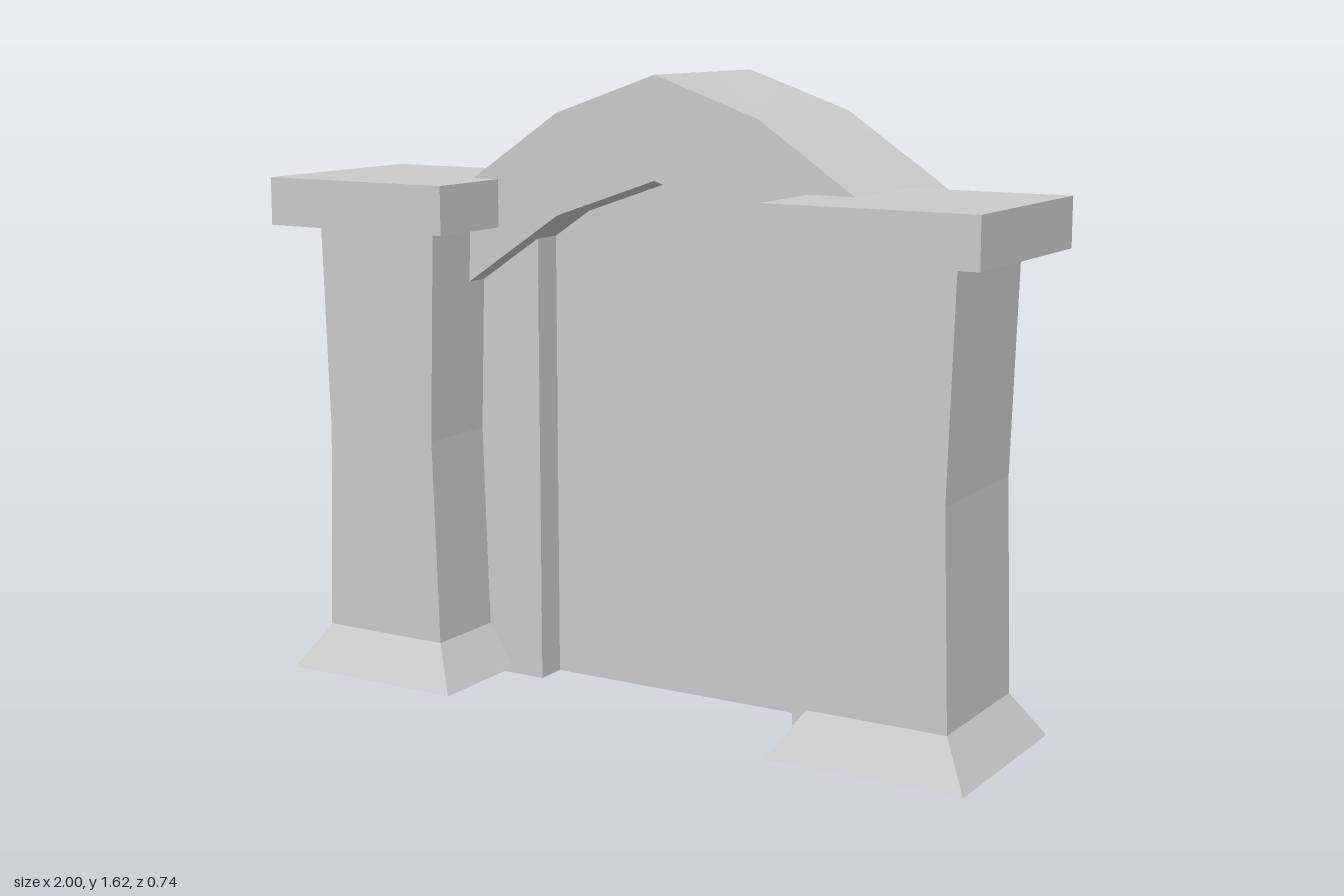
import * as THREE from 'three';
import { toCreasedNormals } from 'three/addons/utils/BufferGeometryUtils.js';

const grey = new THREE.MeshStandardMaterial({ color: 0xcccccc });

function add(parent, name, geometry) {
  const mesh = new THREE.Mesh(geometry, grey);
  mesh.name = name;
  parent.add(mesh);
  return mesh;
}

// box given by its minimum and maximum corners
function block(parent, name, [x0, y0, z0], [x1, y1, z1]) {
  const mesh = add(parent, name, new THREE.BoxGeometry(x1 - x0, y1 - y0, z1 - z0));
  mesh.position.set((x0 + x1) / 2, (y0 + y1) / 2, (z0 + z1) / 2);
  return mesh;
}

// square column through rings of [y, half width, half depth]
function column(rings) {
  const box = new THREE.BoxGeometry(2, rings.length - 1, 2, 1, rings.length - 1, 1);
  const p = box.attributes.position;
  for (let i = 0; i < p.count; i++) {
    const ring = rings[Math.round(p.getY(i) + (rings.length - 1) / 2)];
    p.setXYZ(i, p.getX(i) * ring[1], ring[0], p.getZ(i) * ring[2]);
  }
  const flat = box.toNonIndexed();
  flat.computeVertexNormals();
  return flat;
}

export function createModel() {
  const model = new THREE.Group();
  model.name = 'archedGateway';

  // pillars: flared foot, shaft pinched at the waist, square cap
  for (const [side, x] of [['left', 0.723], ['right', -0.727]]) {
    const pillar = new THREE.Group();
    pillar.name = side + 'Pillar';
    pillar.position.set(x, 0, 0.095);
    add(pillar, side + 'Shaft', column([
      [0.015, 0.256, 0.256],
      [0.13, 0.183, 0.187],
      [0.67, 0.166, 0.187],
      [1.22, 0.183, 0.187],
    ]));
    block(pillar, side + 'Cap', [-0.274, 1.22, -0.275], [0.274, 1.345, 0.275]);
    model.add(pillar);
  }

  // door panel set back between two jambs
  block(model, 'doorPanel', [-0.375, 0, -0.17], [0.385, 1.4, -0.03]);
  block(model, 'leftJamb', [0.385, 0, -0.09], [0.76, 1.25, 0.055]);
  block(model, 'rightJamb', [-0.745, 0, -0.09], [-0.375, 1.25, 0.055]);

  // faceted arch: the same line above and below, swept front to back
  const line = [[-0.56, 1.325], [-0.27, 1.52], [0.02, 1.62], [0.31, 1.52], [0.605, 1.322]];
  const outline = [...line, ...line.map(([x, y]) => [x, y - 0.26]).reverse()];
  const shape = new THREE.Shape(outline.map(([x, y]) => new THREE.Vector2(x, y)));
  const arch = new THREE.ExtrudeGeometry(shape, { depth: 0.49, bevelEnabled: false });
  add(model, 'arch', toCreasedNormals(arch, 0.8)).position.z = -0.37;

  return model;
}
